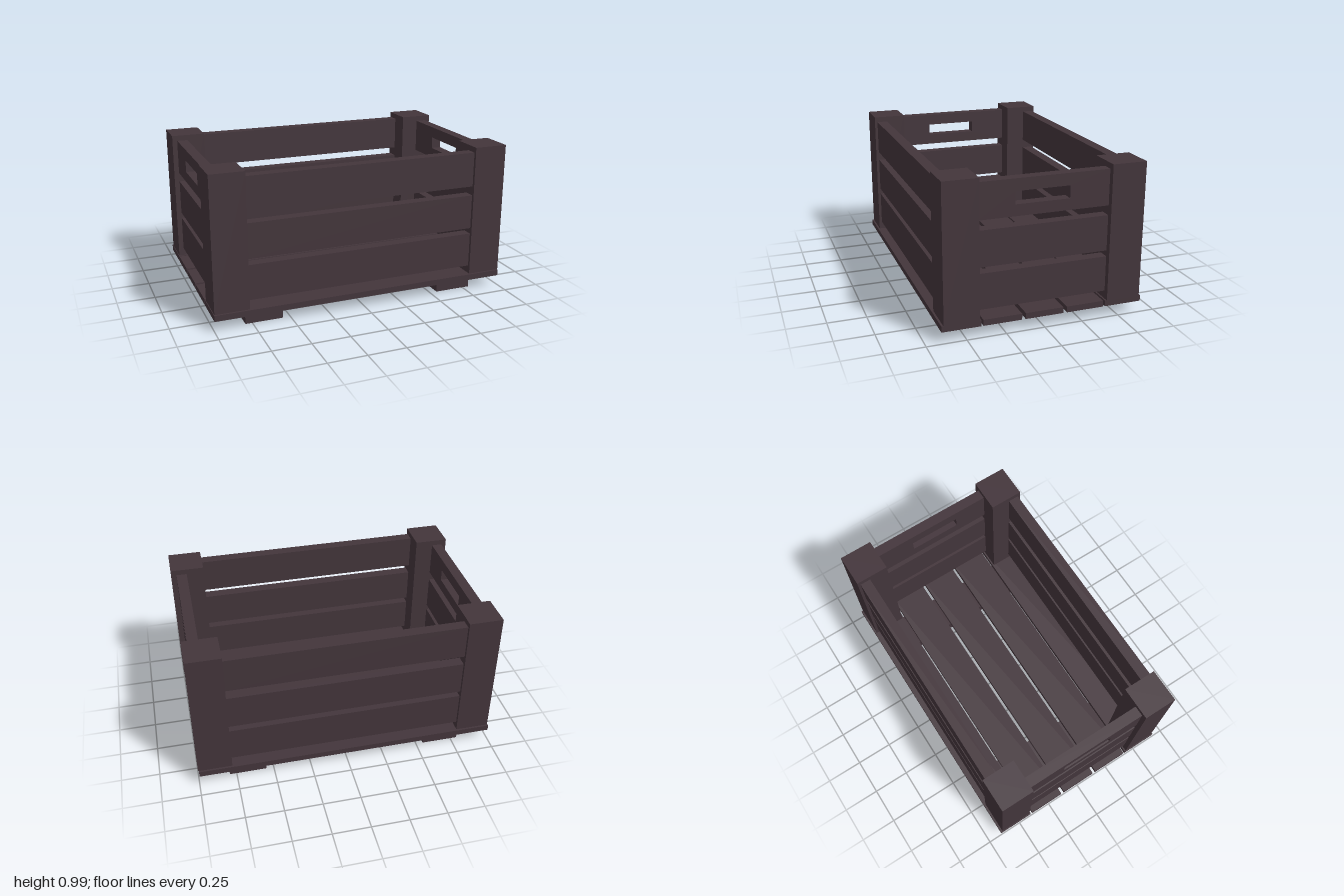
import * as THREE from 'three';

export function createModel() {
  const crate = new THREE.Group();
  crate.name = 'crate';
  const wood = new THREE.MeshStandardMaterial({ color: 0x43353b });
  wood.name = 'darkWood';

  // Box given by its minimum and maximum corners
  function board(name, [x0, y0, z0], [x1, y1, z1]) {
    const mesh = new THREE.Mesh(new THREE.BoxGeometry(x1 - x0, y1 - y0, z1 - z0), wood);
    mesh.name = name;
    mesh.position.set((x0 + x1) / 2, (y0 + y1) / 2, (z0 + z1) / 2);
    crate.add(mesh);
  }

  // Floor planks with narrow gaps
  const planks = [[-0.655, -0.408], [-0.395, -0.148], [-0.124, 0.124], [0.148, 0.395], [0.408, 0.655]];
  for (const [z0, z1] of planks) board('floorPlank', [-1, 0.073, z0], [0.995, 0.112, z1]);

  // Runners under the floor
  for (const s of [-1, 1]) board('runner', [s * 0.672 - 0.123, 0, -0.605], [s * 0.672 + 0.123, 0.073, 0.605]);

  // Corner posts
  for (const sx of [-1, 1]) {
    for (const sz of [-1, 1]) {
      const x = sx * 0.886 + 0.002, z = sz * 0.53;
      board('cornerPost', [x - 0.112, 0.112, z - 0.112], [x + 0.112, 0.993, z + 0.112]);
    }
  }

  // Long slats, front and back
  const rows = [[0.165, 0.396], [0.435, 0.665], [0.727, 0.957]];
  for (const s of [-1, 1]) {
    for (const [y0, y1] of rows) {
      board('longSlat', [-0.772, y0, s * 0.587 - 0.036], [0.776, y1, s * 0.587 + 0.036]);
    }
  }

  // End slats; the top one has a hand hole
  const [topLow, topHigh] = rows[2];
  const outline = new THREE.Shape([[-0.418, topLow], [0.418, topLow], [0.418, topHigh], [-0.418, topHigh]]
    .map(([u, v]) => new THREE.Vector2(u, v)));
  outline.holes.push(new THREE.Path([[-0.188, 0.8], [-0.188, 0.88], [0.16, 0.88], [0.16, 0.8]]
    .map(([u, v]) => new THREE.Vector2(u, v))));
  const handleGeometry = new THREE.ExtrudeGeometry(outline, { depth: 0.07, bevelEnabled: false });
  handleGeometry.translate(0, 0, -0.035).rotateY(Math.PI / 2);
  for (const s of [-1, 1]) {
    const x = s * 0.928;
    for (const [y0, y1] of rows.slice(0, 2)) {
      board('endSlat', [x - 0.035, y0, -0.418], [x + 0.035, y1, 0.418]);
    }
    const handle = new THREE.Mesh(handleGeometry, wood);
    handle.name = 'handleSlat';
    handle.position.x = x;
    crate.add(handle);
  }
  return crate;
}
